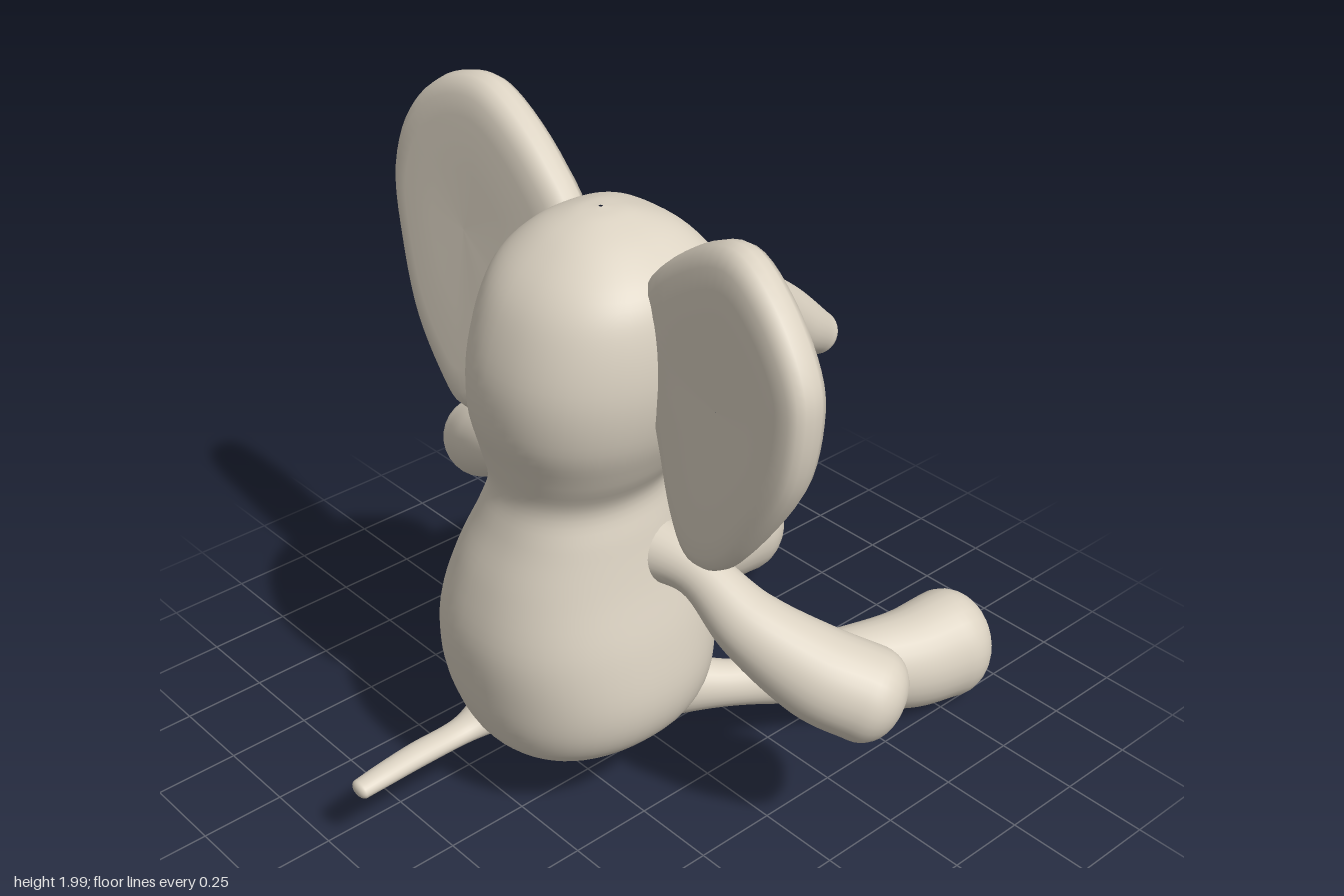
import * as THREE from 'three';

const V = (x, y, z) => new THREE.Vector3(x, y, z);
const spline = (pts, closed = false) => new THREE.CatmullRomCurve3(pts, closed, 'catmullrom');

// Smooth skin over closed rings that run counterclockwise about the direction of travel
function loft(rings, flip = false) {
  const n = rings[0].length, pos = [], idx = [];
  rings.forEach(r => r.forEach(p => pos.push(p.x, p.y, p.z)));
  for (let i = 0; i < rings.length - 1; i++) {
    for (let j = 0; j < n; j++) {
      const a = i * n + j, b = i * n + (j + 1) % n, c = b + n, d = a + n;
      if (flip) idx.push(a, c, b, a, d, c);
      else idx.push(a, b, c, a, c, d);
    }
  }
  const g = new THREE.BufferGeometry();
  g.setAttribute('position', new THREE.Float32BufferAttribute(pos, 3));
  g.setIndex(idx);
  g.computeVertexNormals();
  return g;
}

// Stuffed tube along points [x, y, z, radius] with a rounded end
function limb(pts, cap = 0.75, flatY = 1) {
  const path = spline(pts.map(p => V(p[0], p[1], p[2])));
  const radius = spline(pts.map(p => V(p[3], 0, 0)));
  const steps = 32, sides = 28, rings = [];
  const ring = (c, t, r) => {
    // side vector stays level so the cross-section can be flattened
    const side = V(0, 1, 0).cross(t).normalize(), up = t.clone().cross(side);
    return Array.from({ length: sides }, (_, j) => {
      const a = j / sides * Math.PI * 2;
      return c.clone().addScaledVector(side, Math.cos(a) * r).addScaledVector(up, Math.sin(a) * r * flatY);
    });
  };
  for (let i = 0; i <= steps; i++) {
    rings.push(ring(path.getPoint(i / steps), path.getTangent(i / steps), radius.getPoint(i / steps).x));
  }
  const end = path.getPoint(1), dir = path.getTangent(1), r = pts[pts.length - 1][3];
  for (let k = 1; k <= 10; k++) {
    const a = k / 10 * Math.PI / 2;
    const width = k < 10 ? Math.cos(a) ** 0.85 : 0.003;
    rings.push(ring(end.clone().addScaledVector(dir, Math.sin(a) * r * cap), dir, width * r));
  }
  return loft(rings);
}

// Torso and head sections: [y, xBack, xFront, zRight, zLeft]
const sections = [
  [0.163, -0.27, -0.26, -0.06, -0.05], [0.185, -0.42, -0.13, -0.22, 0.11], [0.245, -0.535, 0.02, -0.32, 0.22],
  [0.33, -0.58, 0.10, -0.40, 0.30], [0.45, -0.605, 0.14, -0.44, 0.33], [0.62, -0.615, 0.14, -0.41, 0.31],
  [0.8, -0.58, 0.09, -0.34, 0.265], [0.95, -0.53, 0.02, -0.265, 0.235], [1.06, -0.505, -0.01, -0.225, 0.22],
  [1.17, -0.53, 0.01, -0.25, 0.28], [1.3, -0.57, 0.06, -0.26, 0.34], [1.45, -0.575, 0.1, -0.255, 0.37],
  [1.6, -0.535, 0.082, -0.235, 0.36], [1.7, -0.475, 0.04, -0.2, 0.32], [1.78, -0.38, -0.03, -0.12, 0.22],
  [1.82, -0.29, -0.13, -0.03, 0.12], [1.83, -0.215, -0.205, 0.04, 0.05],
];
const spanX = spline(sections.map(s => V(s[0], s[1], s[2])));
const spanZ = spline(sections.map(s => V(s[0], s[3], s[4])));
function bodySection(t) {
  const a = spanX.getPoint(t), b = spanZ.getPoint(t);
  // the face is squarer than the rest of the body
  const e = 2.2 + 0.7 * THREE.MathUtils.smoothstep(a.x, 1.1, 1.4);
  return { y: a.x, cx: (a.y + a.z) / 2, rx: (a.z - a.y) / 2, cz: (b.y + b.z) / 2, rz: (b.z - b.y) / 2, e };
}
function bodyGeometry() {
  const rings = [], rounded = (v, e) => Math.sign(v) * Math.abs(v) ** (2 / e);
  for (let i = 0; i <= 80; i++) {
    const s = bodySection(i / 80);
    rings.push(Array.from({ length: 56 }, (_, j) => {
      const a = j / 56 * Math.PI * 2, e = Math.sin(a) > 0 ? s.e : 2.2;
      return V(s.cx + s.rx * rounded(Math.sin(a), e), s.y, s.cz + s.rz * rounded(Math.cos(a), e));
    }));
  }
  return loft(rings);
}
// Front surface of the head at a given height and side position
function faceX(y, z) {
  let lo = 0.5, hi = 1;
  for (let k = 0; k < 30; k++) {
    const m = (lo + hi) / 2;
    if (bodySection(m).y < y) lo = m; else hi = m;
  }
  const s = bodySection(lo), d = Math.min(1, Math.abs(z - s.cz) / s.rz);
  return s.cx + s.rx * (1 - d ** s.e) ** (1 / s.e);
}

// Eye: thin oval following the head surface
function eyeGeometry(y, z) {
  const g = new THREE.RingGeometry(0.001, 1, 28, 4).rotateY(Math.PI / 2), p = g.attributes.position;
  for (let i = 0; i < p.count; i++) {
    const ey = y + p.getY(i) * 0.05, ez = z + p.getZ(i) * 0.042;
    p.setXYZ(i, faceX(ey, ez) + 0.006, ey, ez);
  }
  g.computeVertexNormals();
  return g;
}

// Ear: padded shell from an outline and a matching lining outline, both in [z, y]
function earGeometries(outline, lining, plane, flip) {
  const n = 64;
  const sample = pts => {
    const c = spline(pts.map(([z, y]) => V(0, y, z)), true);
    return Array.from({ length: n }, (_, j) => c.getPoint(j / n));
  };
  const rim = sample(outline), inner = sample(lining);
  const mid = inner.reduce((s, p) => s.add(p), V(0, 0, 0)).divideScalar(n);
  const ring = (pts, scale, depth) => pts.map(p => {
    const q = mid.clone().lerp(p, scale);
    q.x = plane(q.y, q.z) + depth;
    return q;
  });
  const shell = [[0.001, -0.055], [0.4, -0.058], [0.75, -0.061], [0.88, -0.056], [0.95, -0.043], [0.985, -0.024],
    [1, 0], [0.985, 0.028], [0.955, 0.048]].map(([s, d]) => ring(rim, s, d));
  shell.push(ring(inner, 1, 0.06));
  const pad = [[1, 0.06], [0.8, 0.056], [0.5, 0.047], [0.25, 0.043], [0.001, 0.042]].map(([s, d]) => ring(inner, s, d));
  return [loft(shell, flip), loft(pad, flip)];
}

export function createModel() {
  const material = (name, color) => Object.assign(new THREE.MeshStandardMaterial({ color }), { name });
  const plush = material('warm grey plush', 0xdbd2c2);
  const pink = material('pink lining', 0xe2b3ad);
  const black = material('dark eye', 0x2e2e2e);
  const model = new THREE.Group();
  model.name = 'plushElephant';
  const add = (name, geometry, mat = plush) => {
    const m = new THREE.Mesh(geometry, mat);
    m.name = name;
    model.add(m);
  };

  add('bodyAndHead', bodyGeometry());
  add('trunk', limb([[-0.06, 1.4, 0.04, 0.19], [0.1, 1.395, 0.03, 0.153], [0.3, 1.36, 0.01, 0.122],
    [0.48, 1.265, -0.02, 0.1], [0.6, 1.18, -0.03, 0.085], [0.685, 1.125, -0.035, 0.066]], 0.75));
  add('tail', limb([[-0.5, 0.27, -0.14, 0.07], [-0.6, 0.25, -0.145, 0.045], [-0.75, 0.248, -0.145, 0.042],
    [-0.87, 0.245, -0.14, 0.038], [-0.945, 0.238, -0.14, 0.034]], 0.5, 0.75));

  // Arms
  add('leftArm', limb([[-0.17, 0.86, 0.14, 0.1], [-0.135, 0.84, 0.34, 0.073], [-0.1, 0.735, 0.51, 0.1],
    [-0.01, 0.63, 0.67, 0.13], [0.075, 0.575, 0.78, 0.135]], 0.75));
  add('rightArm', limb([[-0.16, 0.87, -0.15, 0.11], [-0.1, 0.88, -0.36, 0.072], [-0.09, 0.83, -0.52, 0.09],
    [-0.04, 0.755, -0.68, 0.11], [0.02, 0.69, -0.8, 0.127]], 0.8));

  // Legs
  add('leftLeg', limb([[-0.09, 0.32, 0.12, 0.1], [0.1, 0.295, 0.25, 0.064], [0.4, 0.235, 0.325, 0.1],
    [0.65, 0.187, 0.405, 0.14], [0.82, 0.182, 0.435, 0.157]], 0.82, 1.11));
  add('rightLeg', limb([[-0.09, 0.36, -0.22, 0.1], [0.1, 0.355, -0.36, 0.062], [0.38, 0.3, -0.4, 0.108],
    [0.6, 0.25, -0.41, 0.142], [0.77, 0.24, -0.415, 0.153]], 0.82, 1.18));

  // Ears
  const [leftShell, leftPad] = earGeometries(
    [[0.25, 1.7], [0.42, 1.86], [0.6, 1.94], [0.75, 1.87], [0.87, 1.73], [0.9, 1.6], [0.86, 1.4],
      [0.72, 1.18], [0.6, 1.05], [0.48, 1.02], [0.4, 1.12], [0.33, 1.32], [0.25, 1.5]],
    [[0.4, 1.74], [0.46, 1.84], [0.58, 1.87], [0.71, 1.82], [0.81, 1.71], [0.84, 1.59], [0.8, 1.44],
      [0.71, 1.27], [0.62, 1.16], [0.53, 1.14], [0.46, 1.22], [0.42, 1.36], [0.39, 1.58]],
    (y, z) => -0.275 - 0.13 * (z - 0.6) + 0.03 * (y - 1.5), false);
  add('leftEar', leftShell);
  add('leftEarLining', leftPad, pink);
  const [rightShell, rightPad] = earGeometries(
    [[-0.1, 1.7], [-0.22, 1.85], [-0.4, 1.97], [-0.53, 2.0], [-0.68, 1.95], [-0.8, 1.83], [-0.845, 1.65],
      [-0.8, 1.45], [-0.72, 1.25], [-0.6, 1.1], [-0.5, 1.03], [-0.4, 1.1], [-0.3, 1.3], [-0.14, 1.42]],
    [[-0.26, 1.75], [-0.32, 1.84], [-0.4, 1.91], [-0.52, 1.93], [-0.63, 1.91], [-0.72, 1.8], [-0.775, 1.62],
      [-0.74, 1.42], [-0.66, 1.26], [-0.56, 1.18], [-0.48, 1.19], [-0.41, 1.28], [-0.32, 1.44], [-0.25, 1.6]],
    (y, z) => -0.19 + 0.11 * (y - 1.5) + 0.02 * (z + 0.5), true);
  add('rightEar', rightShell);
  add('rightEarLining', rightPad, pink);

  // Eyes
  add('leftEye', eyeGeometry(1.59, 0.225), black);
  add('rightEye', eyeGeometry(1.6, -0.095), black);
  return model;
}
